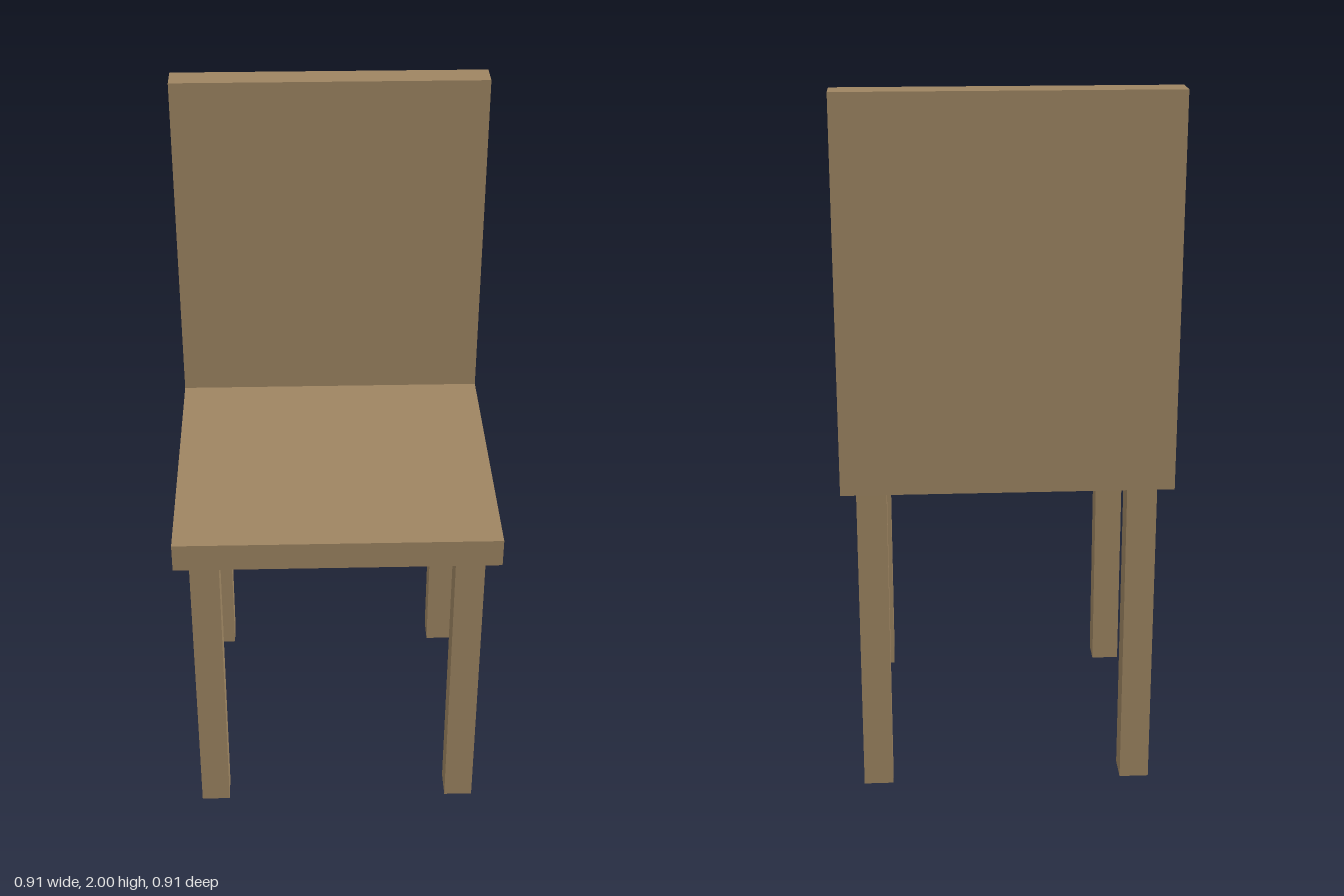
import * as THREE from 'three';

const HALF = 0.455;      // half of the seat width and depth
const THICK = 0.083;     // thickness of seat, back and legs
const SEAT_TOP = 1;
const HEIGHT = 2;
const LEG_OFFSET = 0.372; // leg centre from the middle

export function createModel() {
  const chair = new THREE.Group();
  chair.name = 'chair';
  const wood = new THREE.MeshStandardMaterial({ color: 0x9e8562 });
  const seatBottom = SEAT_TOP - THICK;

  // Seat and back in one piece: an L-shaped side profile (z, y) extruded across x
  const profile = new THREE.Shape([
    [HALF, seatBottom], [HALF, SEAT_TOP], [-HALF + THICK, SEAT_TOP],
    [-HALF + THICK, HEIGHT], [-HALF, HEIGHT], [-HALF, seatBottom],
  ].map(([z, y]) => new THREE.Vector2(-z, y)));
  const geometry = new THREE.ExtrudeGeometry(profile, { depth: 2 * HALF, bevelEnabled: false });
  geometry.translate(0, 0, -HALF).rotateY(Math.PI / 2);
  const seatAndBack = new THREE.Mesh(geometry, wood);
  seatAndBack.name = 'seatAndBack';
  chair.add(seatAndBack);

  // Four square legs, set in slightly from the seat edge
  const legGeometry = new THREE.BoxGeometry(THICK, seatBottom, THICK);
  for (const [side, x] of [['Left', 1], ['Right', -1]]) {
    for (const [end, z] of [['front', 1], ['back', -1]]) {
      const leg = new THREE.Mesh(legGeometry, wood);
      leg.name = `${end}${side}Leg`;
      leg.position.set(x * LEG_OFFSET, seatBottom / 2, z * LEG_OFFSET);
      chair.add(leg);
    }
  }
  return chair;
}
